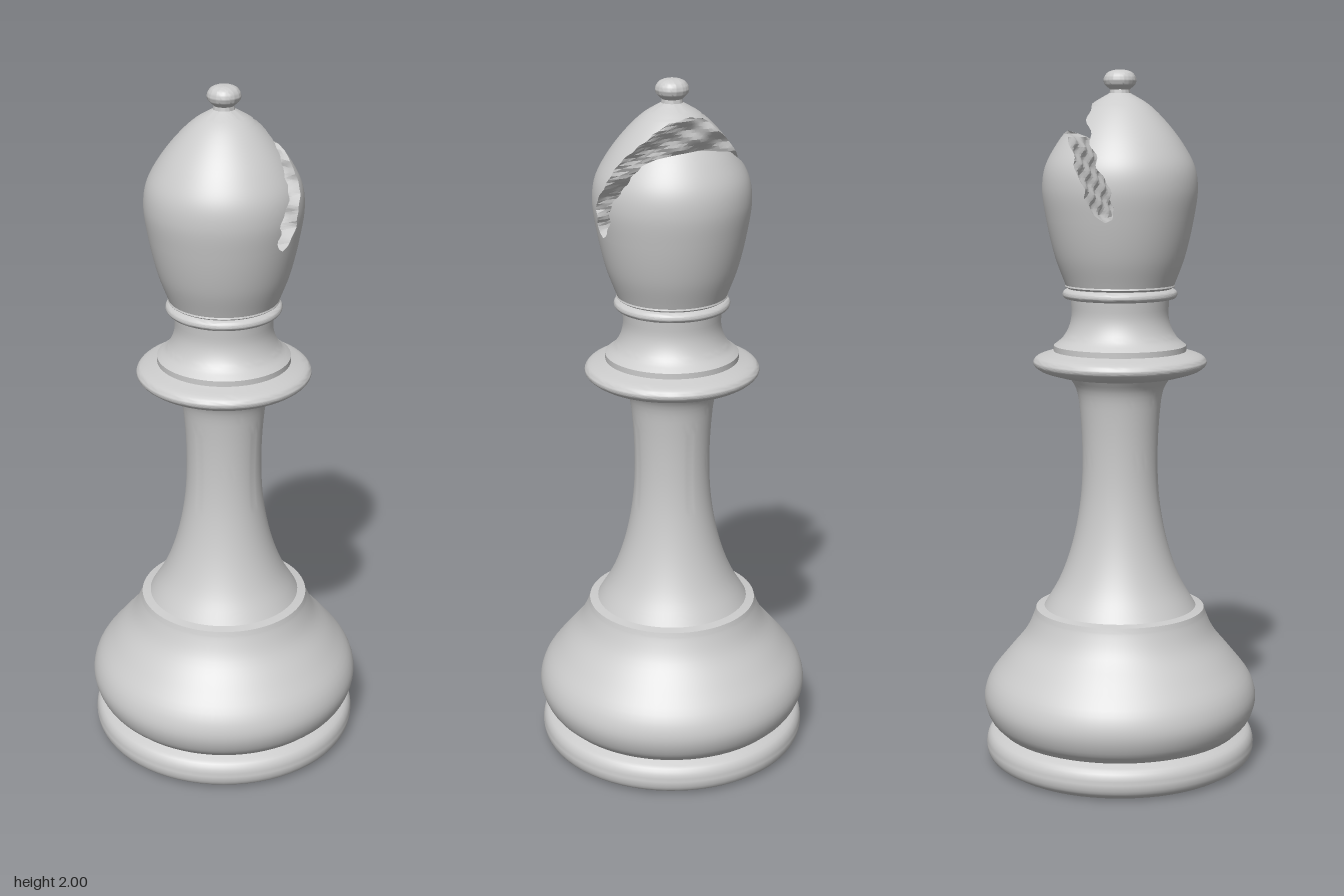
import * as THREE from 'three';
import { toCreasedNormals } from 'three/addons/utils/BufferGeometryUtils.js';

const material = new THREE.MeshStandardMaterial({ color: 0xcccccc });
const SEGMENTS = 72;

// Smooth curve through [radius, height] points
function smooth(points, count = 24) {
  const curve = new THREE.CatmullRomCurve3(points.map(([r, y]) => new THREE.Vector3(r, y, 0)));
  return curve.getPoints(count).map(p => new THREE.Vector2(Math.max(p.x, 0), p.y));
}

// Height lookup in a [value, height] list
function valueAt(list, y) {
  if (y <= list[0].y) return list[0].x;
  for (let i = 1; i < list.length; i++) {
    const a = list[i - 1], b = list[i];
    if (y <= b.y) return THREE.MathUtils.mapLinear(y, a.y, b.y, a.x, b.x);
  }
  return list[list.length - 1].x;
}

function named(name, geometry) {
  const mesh = new THREE.Mesh(geometry, material);
  mesh.name = name;
  return mesh;
}

function turned(name, points) {
  return named(name, toCreasedNormals(new THREE.LatheGeometry(points, SEGMENTS), 0.6));
}

// Surface through rows of points, rows going up
function skin(rows) {
  const cols = rows[0].length, index = [];
  for (let i = 0; i < rows.length - 1; i++) {
    for (let j = 0; j < cols - 1; j++) {
      const a = i * cols + j, b = a + cols;
      index.push(a, b, a + 1, a + 1, b, b + 1);
    }
  }
  const geometry = new THREE.BufferGeometry().setFromPoints(rows.flat());
  geometry.setIndex(index);
  geometry.computeVertexNormals();
  return geometry;
}

const headProfile = smooth([[0.155, 1.398], [0.185, 1.48], [0.21, 1.59], [0.22, 1.67], [0.212, 1.73],
  [0.18, 1.792], [0.13, 1.857], [0.08, 1.905], [0.03, 1.935]], 60);
const SLOT_BOTTOM = 1.583, SLOT_TOP = 1.915;
const pairs = list => list.map(([x, y]) => new THREE.Vector2(x, y));
const slotLeft = pairs([[0, SLOT_BOTTOM], [-0.022, 1.595], [-0.03, 1.62], [-0.026, 1.658], [0.025, 1.757],
  [0.065, 1.855], [0.075, 1.9], [0.1, SLOT_TOP]]);
const slotRight = pairs([[0, SLOT_BOTTOM], [0.022, 1.595], [0.035, 1.62], [0.05, 1.66], [0.105, 1.79],
  [0.125, 1.815], [0.16, 1.83], [0.3, SLOT_TOP]]);

// One half of the slotted head: outer shell plus the rough slot wall
function headHalf(name, edge, isRight) {
  const group = new THREE.Group();
  group.name = name;
  const shell = [], wall = [], normals = [];
  const rowCount = 36, wallCols = 16;
  for (let i = 0; i <= rowCount; i++) {
    const y = THREE.MathUtils.lerp(SLOT_BOTTOM, SLOT_TOP, i / rowCount);
    const r = valueAt(headProfile, y), x0 = valueAt(edge, y);
    const slope = (valueAt(headProfile, y + 0.008) - valueAt(headProfile, y - 0.008)) / 0.016;
    const cut = z => x0 + 0.005 * Math.sin(70 * y + 30 * z) + 0.003 * Math.sin(150 * y - 55 * z);
    const halfWidth = Math.sqrt(Math.max(r * r - x0 * x0, 0));
    const angle = side => x0 >= r ? 0 : Math.acos(THREE.MathUtils.clamp(cut(side * halfWidth) / r, -1, 1));
    const from = isRight ? -angle(-1) : angle(1);
    const to = isRight ? angle(1) : 2 * Math.PI - angle(-1);
    const at = t => new THREE.Vector3(r * Math.cos(t), y, r * Math.sin(t));
    const arc = [];
    for (let j = 0; j <= SEGMENTS; j++) {
      const t = THREE.MathUtils.lerp(from, to, j / SEGMENTS);
      arc.push(at(t));
      normals.push(new THREE.Vector3(Math.cos(t), -slope, Math.sin(t)).normalize());
    }
    shell.push(arc);
    const start = at(to), end = at(from), chord = [];
    for (let j = 0; j <= wallCols; j++) {
      const p = start.clone().lerp(end, j / wallCols);
      if (j > 0 && j < wallCols) p.x = Math.min(cut(p.z), Math.sqrt(Math.max(r * r - p.z * p.z, 0)));
      chord.push(p);
    }
    wall.push(chord);
  }
  const shellGeometry = skin(shell);
  shellGeometry.setAttribute('normal',
    new THREE.Float32BufferAttribute(normals.flatMap(n => n.toArray()), 3));
  group.add(named(name + 'Shell', shellGeometry));
  group.add(named(name + 'SlotWall', toCreasedNormals(skin(wall), 0.4)));
  return group;
}

// Head part between two heights, as a turned surface
function headBand(name, low, high) {
  const points = headProfile.filter(p => p.y > low + 0.001 && p.y < high - 0.001);
  points.unshift(new THREE.Vector2(valueAt(headProfile, low), low));
  points.push(new THREE.Vector2(valueAt(headProfile, high), high));
  return turned(name, points);
}

export function createModel() {
  const model = new THREE.Group();
  model.name = 'chessPiece';

  // Base and stem
  model.add(turned('foot', [new THREE.Vector2(0, 0), new THREE.Vector2(0.36, 0),
    ...smooth([[0.365, 0.003], [0.388, 0.02], [0.395, 0.05], [0.385, 0.083], [0.355, 0.1]], 14)]));
  model.add(turned('base', [...smooth([[0.355, 0.1], [0.383, 0.13], [0.4, 0.185], [0.387, 0.24], [0.335, 0.31],
    [0.278, 0.38], [0.252, 0.435], [0.246, 0.455]], 30), new THREE.Vector2(0.22, 0.46)]));
  model.add(turned('stem', smooth([[0.222, 0.459], [0.178, 0.535], [0.143, 0.63], [0.118, 0.75],
    [0.109, 0.87], [0.114, 1.02], [0.126, 1.1], [0.15, 1.14]], 30)));

  // Collar and neck
  model.add(turned('collar', [new THREE.Vector2(0.14, 1.137),
    ...smooth([[0.18, 1.14], [0.232, 1.157], [0.249, 1.175], [0.242, 1.191], [0.19, 1.21]], 18),
    ...smooth([[0.19, 1.226], [0.165, 1.247], [0.148, 1.275], [0.139, 1.31], [0.141, 1.36]], 14)]));
  model.add(turned('neckRing', smooth([[0.138, 1.358], [0.158, 1.362], [0.164, 1.373],
    [0.158, 1.384], [0.148, 1.389], [0.157, 1.394], [0.155, 1.4]], 20)));

  // Head with its slanted slot
  const head = new THREE.Group();
  head.name = 'head';
  head.add(headBand('lowerHead', 1.398, SLOT_BOTTOM));
  head.add(headHalf('largeHeadHalf', slotLeft, false));
  head.add(headHalf('smallHeadHalf', slotRight, true));
  head.add(headBand('headCrown', SLOT_TOP, 1.935));
  model.add(head);

  // Finial
  model.add(turned('finial', [new THREE.Vector2(0.03, 1.93), new THREE.Vector2(0.028, 1.945),
    ...smooth([[0.032, 1.949], [0.044, 1.961], [0.046, 1.974], [0.037, 1.99], [0.02, 1.998], [0, 2]], 16)]));
  return model;
}
